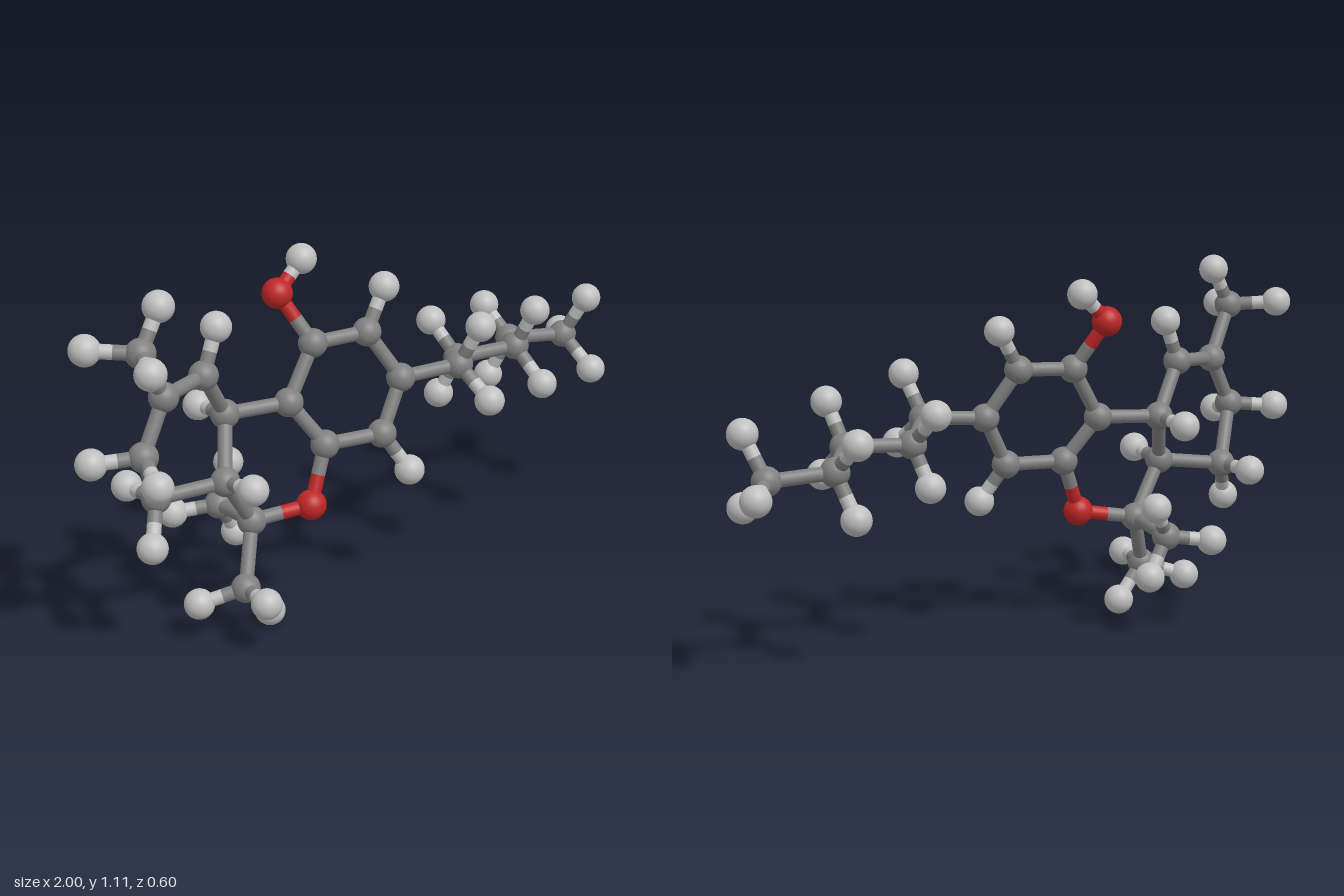
import * as THREE from 'three';

const ATOM_RADIUS = { carbon: 0.043, hydrogen: 0.045, oxygen: 0.045 };
const BOND_RADIUS = 0.021;

// Carbon positions, grouped by the part of the molecule
const CARBONS = {
  // flat six-sided ring
  a1: [-0.185, 0.80, -0.01], a2: [-0.015, 0.805, 0.03], a3: [0.065, 0.66, 0.09],
  a4: [-0.02, 0.51, 0.105], a5: [-0.2, 0.51, 0.06], a6: [-0.285, 0.645, 0],
  // puckered ring
  r1: [-0.47, 0.64, -0.06], r2: [-0.575, 0.797, -0.015], r3: [-0.745, 0.79, 0.03],
  r4: [-0.83, 0.64, 0.045], r5: [-0.74, 0.465, -0.03], r6: [-0.55, 0.485, 0.04],
  // bridge corner and the three end groups
  bridge: [-0.435, 0.32, 0.01], m1: [-0.515, 0.155, 0.08],
  m2: [-0.405, 0.295, -0.187], m3: [-0.84, 0.95, 0.065],
  // zigzag tail
  t1: [0.25, 0.67, 0.14], t2: [0.375, 0.62, 0], t3: [0.57, 0.625, 0.05],
  t4: [0.685, 0.583, -0.095], t5: [0.87, 0.567, -0.04],
};
const OXYGENS = { oTop: [-0.25, 0.945, -0.09], oRing: [-0.27, 0.345, 0.08] };

// Hydrogens listed under the atom that carries them
const RING_HYDROGENS = {
  oTop: [[-0.16, 1.03, -0.09]],
  a2: [[0.06, 0.925, 0.02]],
  a4: [[0.04, 0.395, 0.16]],
  r1: [[-0.465, 0.625, -0.195]],
  r2: [[-0.52, 0.925, -0.025]],
  r4: [[-0.955, 0.63, -0.025], [-0.875, 0.605, 0.172]],
  r5: [[-0.80, 0.35, 0.03], [-0.745, 0.46, -0.165]],
  r6: [[-0.555, 0.505, 0.175]],
};
const END_HYDROGENS = {
  m1: [[-0.63, 0.115, 0.01], [-0.42, 0.05, 0.07], [-0.545, 0.165, 0.215]],
  m2: [[-0.33, 0.395, -0.235], [-0.525, 0.28, -0.255], [-0.33, 0.18, -0.205]],
  m3: [[-0.77, 1.065, 0.055], [-0.955, 0.96, -0.03], [-0.90, 0.943, 0.193]],
  t1: [[0.28, 0.797, 0.2], [0.27, 0.583, 0.255]],
  t2: [[0.36, 0.715, -0.105], [0.345, 0.497, -0.05]],
  t3: [[0.595, 0.75, 0.108], [0.58, 0.53, 0.163]],
  t4: [[0.67, 0.67, -0.195], [0.65, 0.452, -0.15]],
  t5: [[0.91, 0.695, 0.02], [0.955, 0.535, -0.137], [0.885, 0.477, 0.075]],
};

// Chains of bonded heavy atoms
const CHAINS = [
  'a1 a2 a3 a4 a5 a6 a1', 'a6 r1 r2 r3 r4 r5 r6 r1', 'r6 bridge oRing a5',
  'a1 oTop', 'm1 bridge m2', 'r3 m3', 'a3 t1 t2 t3 t4 t5',
];

export function createModel() {
  const model = new THREE.Group();
  model.name = 'molecule';

  const paint = (name, color) => {
    const m = new THREE.MeshStandardMaterial({ color });
    m.name = name;
    return m;
  };
  const materials = {
    carbon: paint('carbonGrey', 0x808080),
    hydrogen: paint('hydrogenLightGrey', 0xbfbfbf),
    oxygen: paint('oxygenRed', 0xbf2626),
  };
  const balls = {};
  for (const kind in ATOM_RADIUS) balls[kind] = new THREE.SphereGeometry(ATOM_RADIUS[kind], 32, 20);
  const rod = new THREE.CylinderGeometry(BOND_RADIUS, BOND_RADIUS, 1, 20, 1, true);
  const up = new THREE.Vector3(0, 1, 0);

  const atomGroup = new THREE.Group();
  atomGroup.name = 'atoms';
  const bondGroup = new THREE.Group();
  bondGroup.name = 'bonds';
  model.add(atomGroup, bondGroup);

  const addAtom = (kind, p) => {
    const ball = new THREE.Mesh(balls[kind], materials[kind]);
    ball.name = kind + 'Atom';
    ball.position.fromArray(p);
    atomGroup.add(ball);
    return { kind, position: ball.position };
  };

  const addRod = (kind, from, to) => {
    const dir = to.clone().sub(from);
    const mesh = new THREE.Mesh(rod, materials[kind]);
    mesh.name = kind + 'Bond';
    mesh.position.copy(from).lerp(to, 0.5);
    mesh.scale.y = dir.length();
    mesh.quaternion.setFromUnitVectors(up, dir.normalize());
    bondGroup.add(mesh);
  };

  // Each half of a bond takes the colour of its nearer atom
  const addBond = (a, b) => {
    const middle = a.position.clone().lerp(b.position, 0.5);
    addRod(a.kind, a.position, middle);
    addRod(b.kind, middle, b.position);
  };

  // Heavy atoms and the skeleton
  const atoms = {};
  for (const id in CARBONS) atoms[id] = addAtom('carbon', CARBONS[id]);
  for (const id in OXYGENS) atoms[id] = addAtom('oxygen', OXYGENS[id]);
  for (const chain of CHAINS) {
    const ids = chain.split(' ');
    for (let i = 1; i < ids.length; i++) addBond(atoms[ids[i - 1]], atoms[ids[i]]);
  }

  // Hydrogens on their carriers
  for (const set of [RING_HYDROGENS, END_HYDROGENS]) {
    for (const id in set) {
      for (const p of set[id]) addBond(atoms[id], addAtom('hydrogen', p));
    }
  }
  return model;
}
